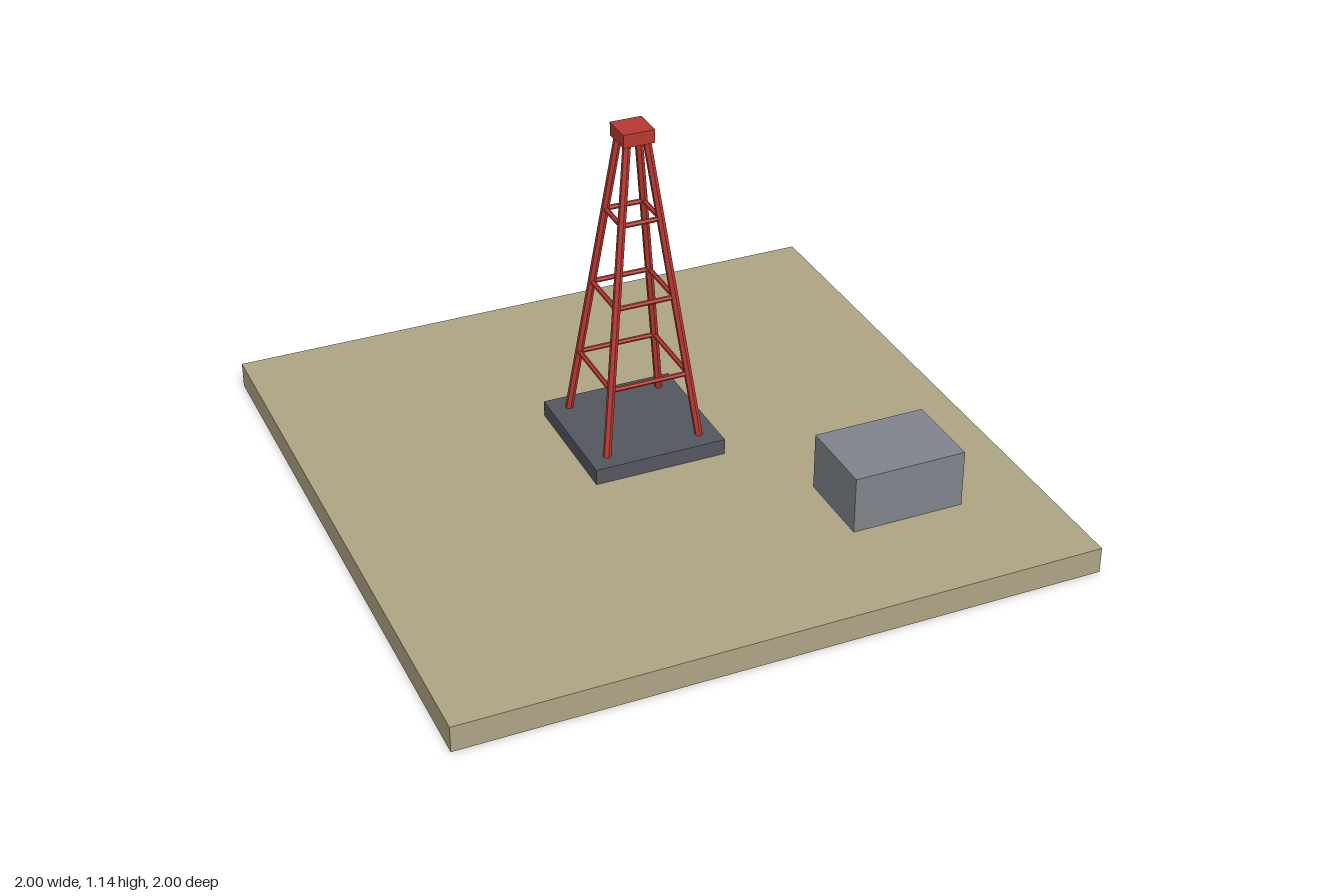
import * as THREE from 'three';

const mat = (color) => new THREE.MeshStandardMaterial({ color, flatShading: true });

export function createModel() {
  const model = new THREE.Group();
  const sand = mat(0xb0a585), slate = mat(0x555760), steel = mat(0xb93a32), grey = mat(0x80858d);

  function box(name, parent, material, size, pos) {
    const mesh = new THREE.Mesh(new THREE.BoxGeometry(...size), material);
    mesh.position.set(...pos);
    mesh.name = name;
    parent.add(mesh);
  }

  // Round bar between two points
  function bar(name, parent, a, b, radius) {
    const dir = b.clone().sub(a);
    const mesh = new THREE.Mesh(new THREE.CylinderGeometry(radius, radius, dir.length(), 6), steel);
    mesh.position.copy(a).add(b).multiplyScalar(0.5);
    mesh.quaternion.setFromUnitVectors(new THREE.Vector3(0, 1, 0), dir.normalize());
    mesh.name = name;
    parent.add(mesh);
  }

  // Ground slab and shed
  box('ground', model, sand, [2, 0.083, 2], [0, 0.0415, 0]);
  box('shed', model, grey, [0.36, 0.185, 0.26], [0.56, 0.1745, 0.51]);

  // Tower on its foundation
  const tower = new THREE.Group();
  tower.name = 'tower';
  tower.position.z = -0.103;
  model.add(tower);
  box('foundation', tower, slate, [0.426, 0.052, 0.426], [0, 0.108, 0]);
  box('towerCap', tower, steel, [0.1, 0.042, 0.1], [0, 1.122, 0]);

  // Corner of the tapering frame at height y
  const signs = [[1, 1], [1, -1], [-1, -1], [-1, 1]];
  const bottom = 0.13, top = 1.1;
  const corner = (i, y) => {
    const half = THREE.MathUtils.lerp(0.153, 0.032, (y - bottom) / (top - bottom));
    const [sx, sz] = signs[i % 4];
    return new THREE.Vector3(sx * half, y, sz * half);
  };

  // Legs and three rings of cross bars
  for (let i = 0; i < 4; i++) {
    bar('leg', tower, corner(i, bottom), corner(i, top), 0.0125);
    for (const y of [0.345, 0.601, 0.857]) {
      bar('crossBar', tower, corner(i, y), corner(i + 1, y), 0.008);
    }
  }
  return model;
}
